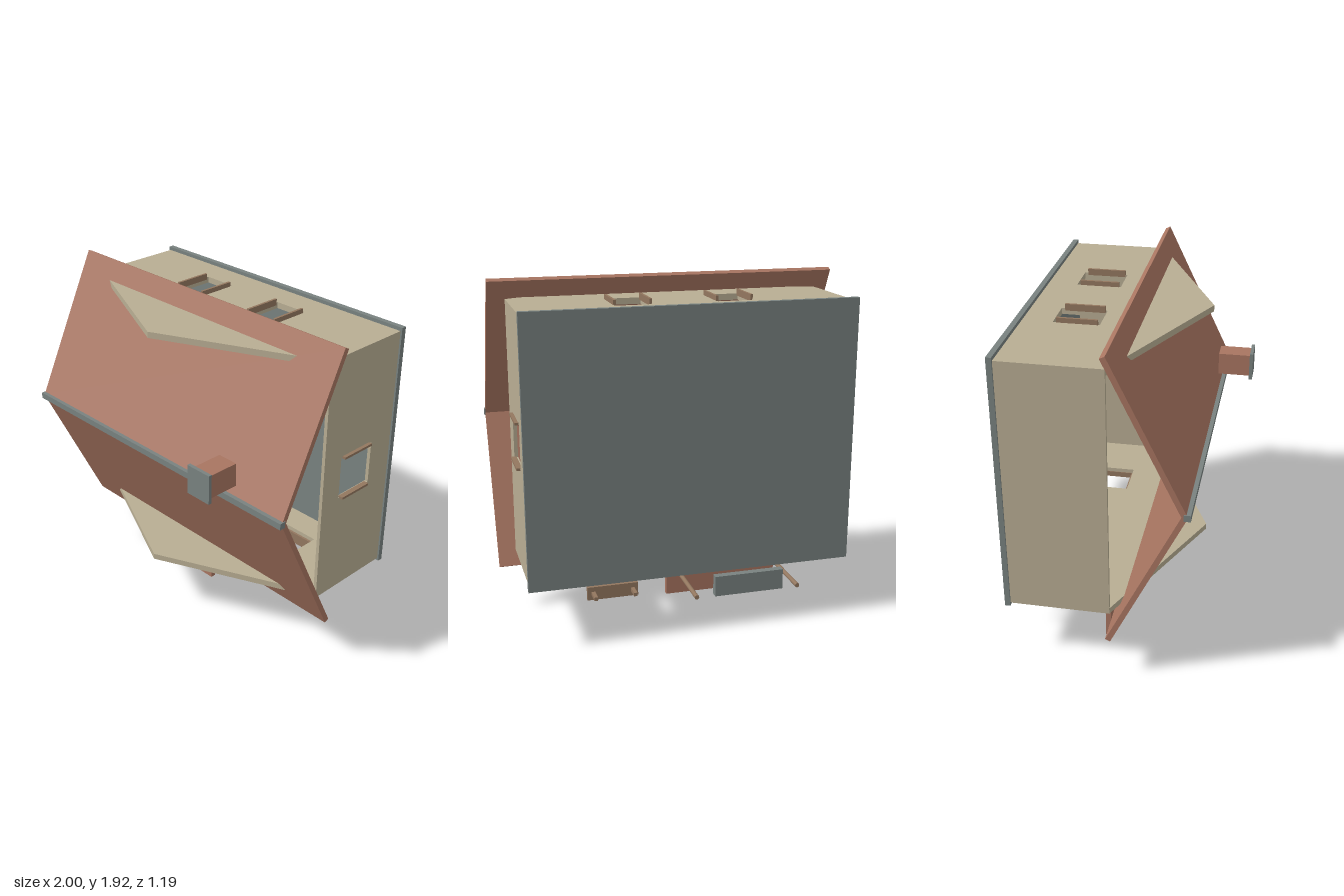
import * as THREE from 'three';

const mat = (name, color, side = THREE.FrontSide) => {
  const m = new THREE.MeshStandardMaterial({ color, side });
  m.name = name;
  return m;
};

export function createModel() {
  const plaster = mat('plaster', 0xb8ad93);
  const clay = mat('clay', 0xa87561);
  const slate = mat('slate', 0x798280);
  const wood = mat('wood', 0x93775f);

  const house = new THREE.Group();
  house.name = 'house';

  const add = (name, geometry, material, x = 0, y = 0, z = 0) => {
    const mesh = new THREE.Mesh(geometry, material);
    mesh.name = name;
    mesh.position.set(x, y, z);
    house.add(mesh);
    return mesh;
  };
  // Box given by its limits on each axis
  const box = (name, material, [x0, x1], [y0, y1], [z0, z1]) =>
    add(name, new THREE.BoxGeometry(x1 - x0, y1 - y0, z1 - z0), material,
      (x0 + x1) / 2, (y0 + y1) / 2, (z0 + z1) / 2);

  // Flat panel with rectangular openings, each [u0, u1, v0, v1]
  const panel = (points, holes, depth) => {
    const shape = new THREE.Shape(points.map(p => new THREE.Vector2(...p)));
    for (const [u0, u1, v0, v1] of holes) {
      shape.holes.push(new THREE.Path([[u0, v0], [u0, v1], [u1, v1], [u1, v0]]
        .map(p => new THREE.Vector2(...p))));
    }
    return new THREE.ExtrudeGeometry(shape, { depth, bevelEnabled: false });
  };
  const rect = (u0, u1, v0, v1) => [[u0, v0], [u1, v0], [u1, v1], [u0, v1]];

  // Base slab
  box('baseSlab', slate, [-0.91, 0.91], [0.345, 1.83], [-0.595, -0.565]);

  // Walls, leaving the window openings clear
  const sill = -0.4, head = -0.15, floor = -0.565, eave = -0.015;
  const entryWindows = [-0.5, 0.43], rearWindows = [-0.28, 0.28];
  const openings = (xs, half) => xs.map(x => [x - half, x + half, sill, head]);
  add('entryWall', panel(rect(-0.9, 0.9, floor, eave), openings(entryWindows, 0.12), 0.035)
    .rotateX(Math.PI / 2), plaster, 0, 0.395, 0);
  add('rearWall', panel(rect(-0.9, 0.9, floor, eave), openings(rearWindows, 0.1), 0.035)
    .rotateX(Math.PI / 2), plaster, 0, 1.81, 0);
  add('windowSideWall', panel(rect(floor, eave, 0.375, 1.795), [[sill, head, 0.96, 1.21]], 0.02)
    .rotateY(-Math.PI / 2), plaster, 0.9, 0, 0);
  box('plainSideWall', plaster, [-0.9, -0.88], [0.375, 1.795], [floor, eave]);

  // Gables that pierce the roof
  for (const y of [0.395, 1.81]) {
    add('gable', panel([[-0.9, eave], [0.9, eave], [0, 0.4]], [], 0.035)
      .rotateX(Math.PI / 2), plaster, 0, y, 0);
  }
  box('gableTrim', wood, [-0.07, 0.07], [0.345, 0.362], [0.1, 0.17]);

  // Window bars
  const barZ = [-0.38, -0.16];
  for (const x of rearWindows) for (const s of [-1, 1]) {
    const c = x + s * 0.097;
    box('rearWindowBar', wood, [c - 0.007, c + 0.007], [1.8, 1.837], barZ);
  }
  for (const x of entryWindows) for (const s of [-1, 1]) {
    const c = x + s * 0.122, z = -0.275 + s * 0.118;
    box('entryWindowBar', wood, [c - 0.007, c + 0.007], [0.335, 0.37], barZ);
    box('entryWindowRail', wood, [x - 0.125, x + 0.125], [0.34, 0.37], [z - 0.007, z + 0.007]);
  }
  for (const y of [0.96, 1.21]) {
    box('sideWindowBar', wood, [0.89, 0.92], [y - 0.007, y + 0.007], barZ);
  }

  // Sloping roof panels and ridge
  const ridgeY = 1.085, rise = 0.4, run = 0.828;
  for (const s of [-1, 1]) {
    const slope = add('roofPanel', new THREE.BoxGeometry(1.99, Math.hypot(rise, run), 0.03),
      clay, 0, ridgeY + s * run / 2, 0.193);
    slope.rotation.x = -s * Math.atan2(rise, run);
  }
  box('roofRidge', slate, [-1, 1], [ridgeY - 0.018, ridgeY + 0.018], [0.388, 0.424]);

  // Chimney
  box('chimney', clay, [0.53, 0.652], [1.155, 1.287], [0.387, 0.577]);
  box('chimneyCap', slate, [0.513, 0.669], [1.138, 1.304], [0.575, 0.595]);

  // Porch
  box('porchRoof', clay, [-0.67, 0.015], [0, 0.36], [-0.086, -0.056]);
  for (const x of [-0.63, -0.03]) {
    add('porchPost', new THREE.CylinderGeometry(0.013, 0.013, 0.475, 12).rotateX(Math.PI / 2),
      wood, x, 0.185, -0.322);
  }
  box('porchStep', slate, [-0.53, -0.13], [0.188, 0.305], [-0.58, -0.54]);
  box('door', clay, [-0.27, -0.09], [0.348, 0.362], [-0.56, -0.17]);

  // Bench
  box('benchSeat', wood, [0.293, 0.578], [0.217, 0.292], [-0.5, -0.48]);
  for (const x of [0.325, 0.545]) {
    box('benchLeg', wood, [x - 0.01, x + 0.01], [0.245, 0.265], [-0.575, -0.495]);
  }

  return house;
}
